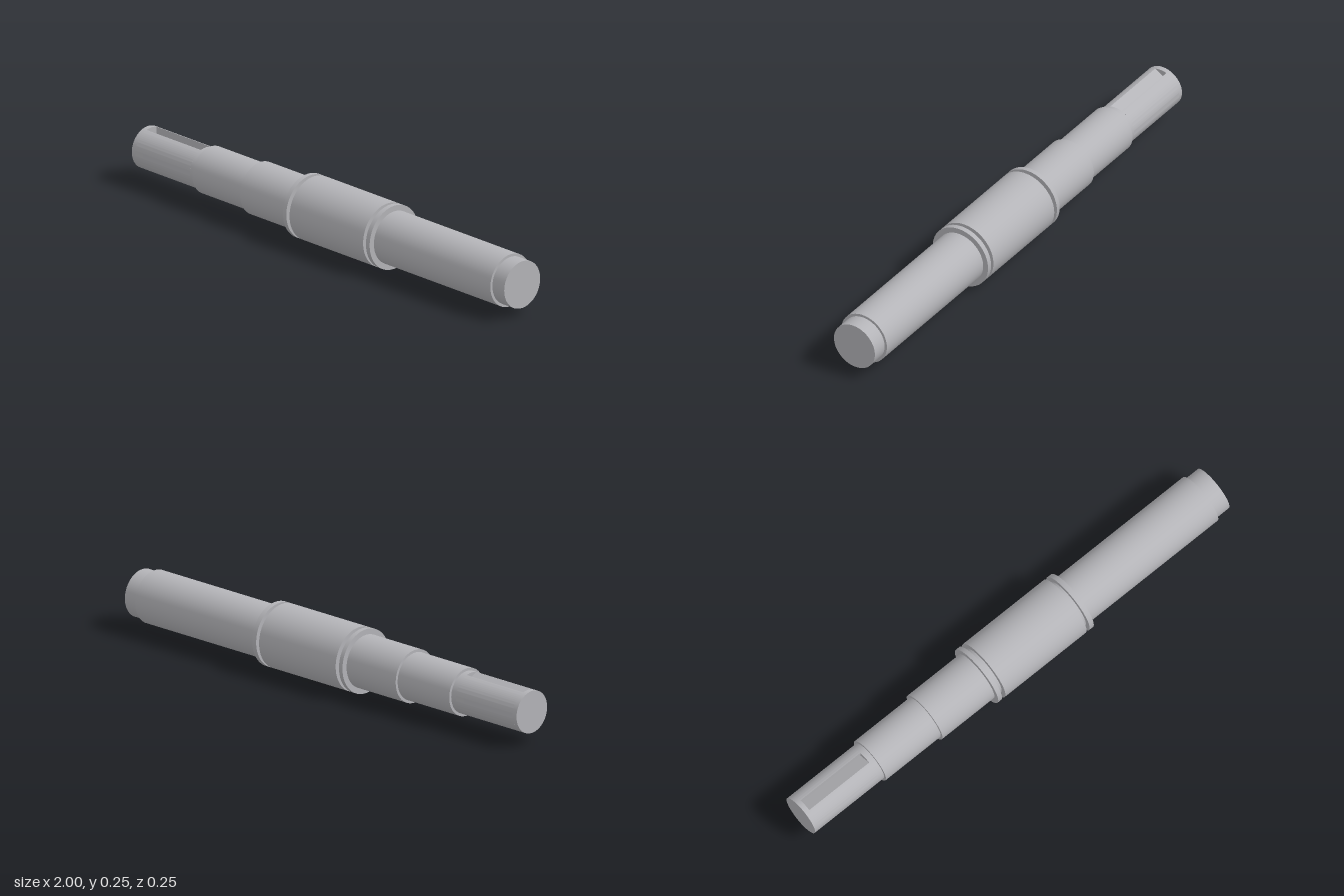
import * as THREE from 'three';
import { toCreasedNormals } from 'three/addons/utils/BufferGeometryUtils.js';

const AXIS_HEIGHT = 0.125;
const SIDES = 64;

export function createModel() {
  const steel = new THREE.MeshStandardMaterial({ color: 0xb4b4b8 });
  steel.name = 'steel grey';

  const shaft = new THREE.Group();
  shaft.name = 'steppedShaft';
  shaft.position.y = AXIS_HEIGHT;

  function add(parent, name, geometry) {
    const mesh = new THREE.Mesh(geometry, steel);
    mesh.name = name;
    parent.add(mesh);
  }

  // Turned section running along x
  function turned(parent, name, x0, x1, radius) {
    const g = new THREE.CylinderGeometry(radius, radius, x1 - x0, SIDES);
    g.rotateZ(-Math.PI / 2);
    g.translate((x0 + x1) / 2, 0, 0);
    add(parent, name, g);
  }

  // Round section with a square slot cut into its top
  function slotted(parent, name, x0, x1, radius, halfWidth, floorY) {
    const a = Math.asin(halfWidth / radius);
    const s = new THREE.Shape();
    s.moveTo(-halfWidth, floorY);
    s.absarc(0, 0, radius, Math.PI / 2 + a, Math.PI * 2.5 - a, false);
    s.lineTo(halfWidth, floorY);
    s.closePath();
    const g = new THREE.ExtrudeGeometry(s, { depth: x1 - x0, bevelEnabled: false, curveSegments: SIDES });
    g.rotateY(Math.PI / 2);
    g.translate(x0, 0, 0);
    add(parent, name, toCreasedNormals(g, 0.5));
  }

  // Drive end with its keyway
  const driveEnd = new THREE.Group();
  driveEnd.name = 'driveEnd';
  shaft.add(driveEnd);
  turned(driveEnd, 'driveTip', -1, -0.98, 0.082);
  slotted(driveEnd, 'keywaySection', -0.98, -0.69, 0.082, 0.025, 0.05);
  turned(driveEnd, 'driveRoot', -0.69, -0.665, 0.082);

  // Steps, collars, grooves and central body
  const sections = [
    ['smallStep', -0.665, -0.4, 0.0925],
    ['largeStep', -0.4, -0.148, 0.103],
    ['rightCollar', -0.148, -0.13, 0.125],
    ['rightGroove', -0.13, -0.113, 0.103],
    ['centralBody', -0.113, 0.28, 0.125],
    ['leftGroove', 0.28, 0.295, 0.103],
    ['leftCollar', 0.295, 0.315, 0.125],
    ['longJournal', 0.315, 0.937, 0.103],
    ['endSpigot', 0.937, 1, 0.0925],
  ];
  for (const [name, x0, x1, radius] of sections) turned(shaft, name, x0, x1, radius);

  const model = new THREE.Group();
  model.name = 'shaftModel';
  model.add(shaft);
  return model;
}
